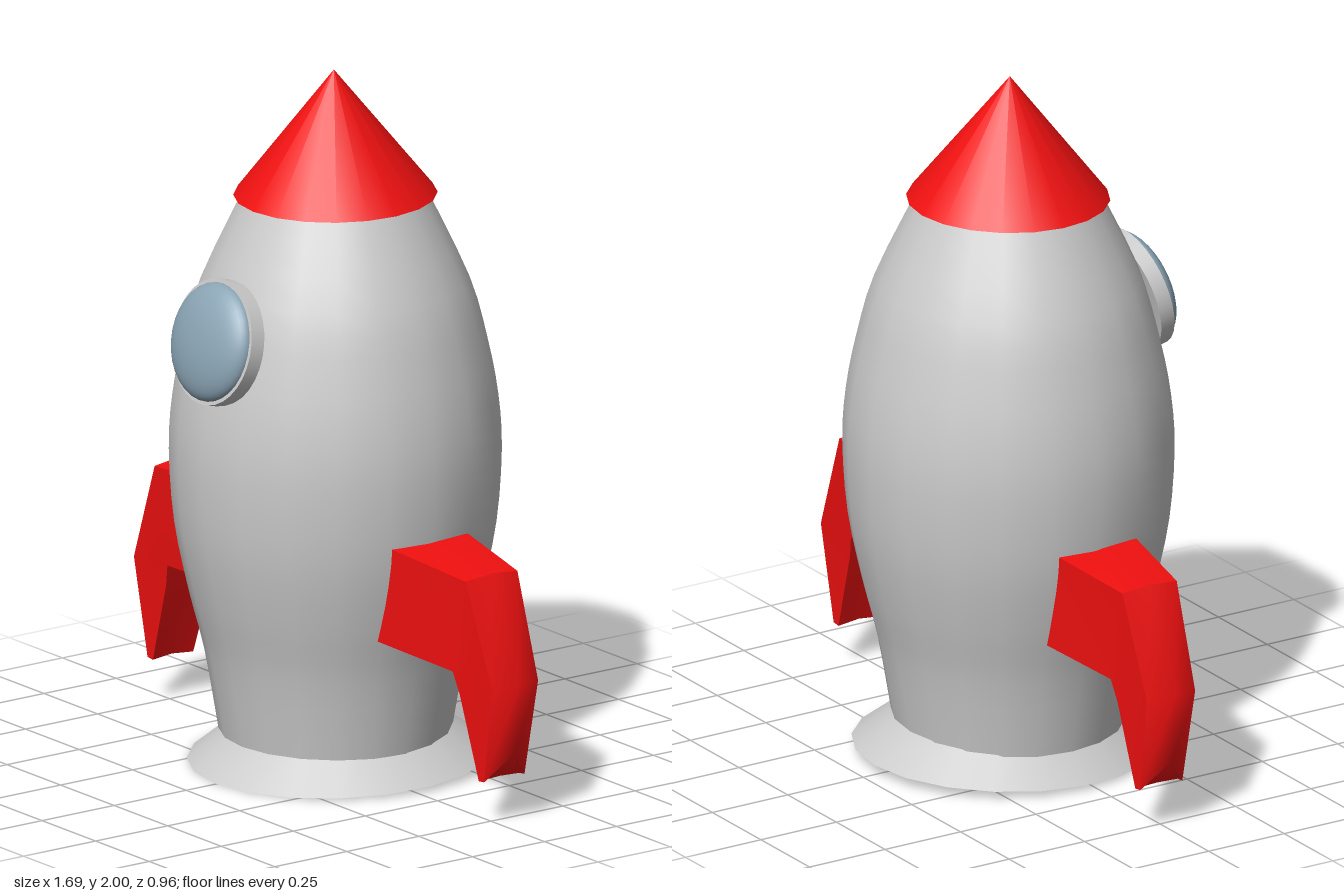
import * as THREE from 'three';
import { toCreasedNormals } from 'three/addons/utils/BufferGeometryUtils.js';

const SIDES = 20;
const grey = new THREE.MeshStandardMaterial({ color: 0xcccccc });
const greyThin = new THREE.MeshStandardMaterial({ color: 0xcccccc, side: THREE.DoubleSide });
const red = new THREE.MeshStandardMaterial({ color: 0xf01010 });
const glassBlue = new THREE.MeshStandardMaterial({ color: 0x8ba5b5 });

function part(name, geometry, material, x = 0, y = 0, z = 0) {
  const mesh = new THREE.Mesh(geometry, material);
  mesh.name = name;
  mesh.position.set(x, y, z);
  return mesh;
}

// Bent fin lofted through six-sided sections: outer ridge, outer corners,
// inner corners and inner ridge, given as [x, y] with a half width in z.
function finGeometry() {
  const sections = [
    { ridge: [0.36, 0.745], outer: [0.36, 0.74], inner: [0.34, 0.455], keel: [0.34, 0.44], w: 0.142 },
    { ridge: [0.72, 0.71], outer: [0.715, 0.70], inner: [0.655, 0.425], keel: [0.66, 0.415], w: 0.09 },
    { ridge: [0.847, 0.42], outer: [0.825, 0.41], inner: [0.675, 0.36], keel: [0.68, 0.35], w: 0.08 },
    { ridge: [0.822, 0.21], outer: [0.775, 0.128], inner: [0.75, 0.125], keel: [0.755, 0.13], w: 0.07 },
  ];
  const positions = [];
  const index = [];
  for (const { ridge, outer, inner, keel, w } of sections) {
    positions.push(...ridge, 0, ...outer, w, ...inner, w, ...keel, 0, ...inner, -w, ...outer, -w);
  }
  const n = 6;
  for (let s = 0; s < sections.length - 1; s++) {
    for (let i = 0; i < n; i++) {
      const a = s * n + i, b = s * n + (i + 1) % n;
      index.push(a, b, b + n, a, b + n, a + n);
    }
  }
  // End caps
  const last = (sections.length - 1) * n;
  for (let i = 1; i < n - 1; i++) {
    index.push(0, i + 1, i, last, last + i, last + i + 1);
  }
  // Orient every face outwards
  const geometry = new THREE.BufferGeometry();
  geometry.setAttribute('position', new THREE.Float32BufferAttribute(positions, 3));
  geometry.setIndex(index);
  return toCreasedNormals(geometry, 0.9);
}

export function createModel() {
  const rocket = new THREE.Group();
  rocket.name = 'rocket';
  const cx = -0.01, cz = -0.025;

  // Barrel-shaped hull
  const profile = new THREE.SplineCurve([
    [0.33, 0.09], [0.37, 0.32], [0.414, 0.49], [0.455, 0.69], [0.47, 0.9],
    [0.46, 1.06], [0.43, 1.22], [0.379, 1.4], [0.265, 1.64],
  ].map(([r, y]) => new THREE.Vector2(r, y))).getPoints(24);
  const hull = part('hull', new THREE.LatheGeometry(profile, SIDES), grey, cx, 0, cz);
  hull.scale.z = 0.98;
  rocket.add(hull);

  // Hull underside
  const underside = part('hullUnderside', new THREE.CircleGeometry(0.33, SIDES), grey, cx, 0.095, cz);
  underside.rotation.x = Math.PI / 2;
  rocket.add(underside);

  // Nose cone
  const nose = part('noseCone', new THREE.ConeGeometry(0.285, 0.36, SIDES), red, cx - 0.003, 1.82, cz);
  nose.rotation.x = 0.015;
  rocket.add(nose);

  // Flared exhaust skirt, open underneath and slightly tilted
  const skirt = part('exhaustSkirt',
    new THREE.CylinderGeometry(0.32, 0.43, 0.085, SIDES, 1, true), greyThin, -0.003, 0.059, -0.033);
  skirt.scale.x = 0.975;
  skirt.rotation.x = 0.034;
  rocket.add(skirt);

  // Porthole: frame ring and bulging glass, facing slightly upwards
  const porthole = new THREE.Group();
  porthole.name = 'porthole';
  const frame = part('portholeFrame', new THREE.CylinderGeometry(0.178, 0.178, 0.045, 32), grey);
  frame.rotation.x = Math.PI / 2;
  const glass = part('portholeGlass',
    new THREE.SphereGeometry(0.168, 32, 12, 0, Math.PI * 2, 0, Math.PI / 2), glassBlue, 0, 0, 0.02);
  glass.rotation.x = Math.PI / 2;
  glass.scale.y = 0.38;
  porthole.add(frame, glass);
  porthole.position.set(-0.008, 1.28, 0.383);
  porthole.rotation.x = -0.24;
  rocket.add(porthole);

  // Pair of fins, one on each side
  const fin = finGeometry();
  rocket.add(part('leftFin', fin, red, 0, 0, -0.028));
  const rightFin = part('rightFin', fin, red, 0, 0, -0.012);
  rightFin.rotation.y = Math.PI;
  rocket.add(rightFin);

  return rocket;
}
